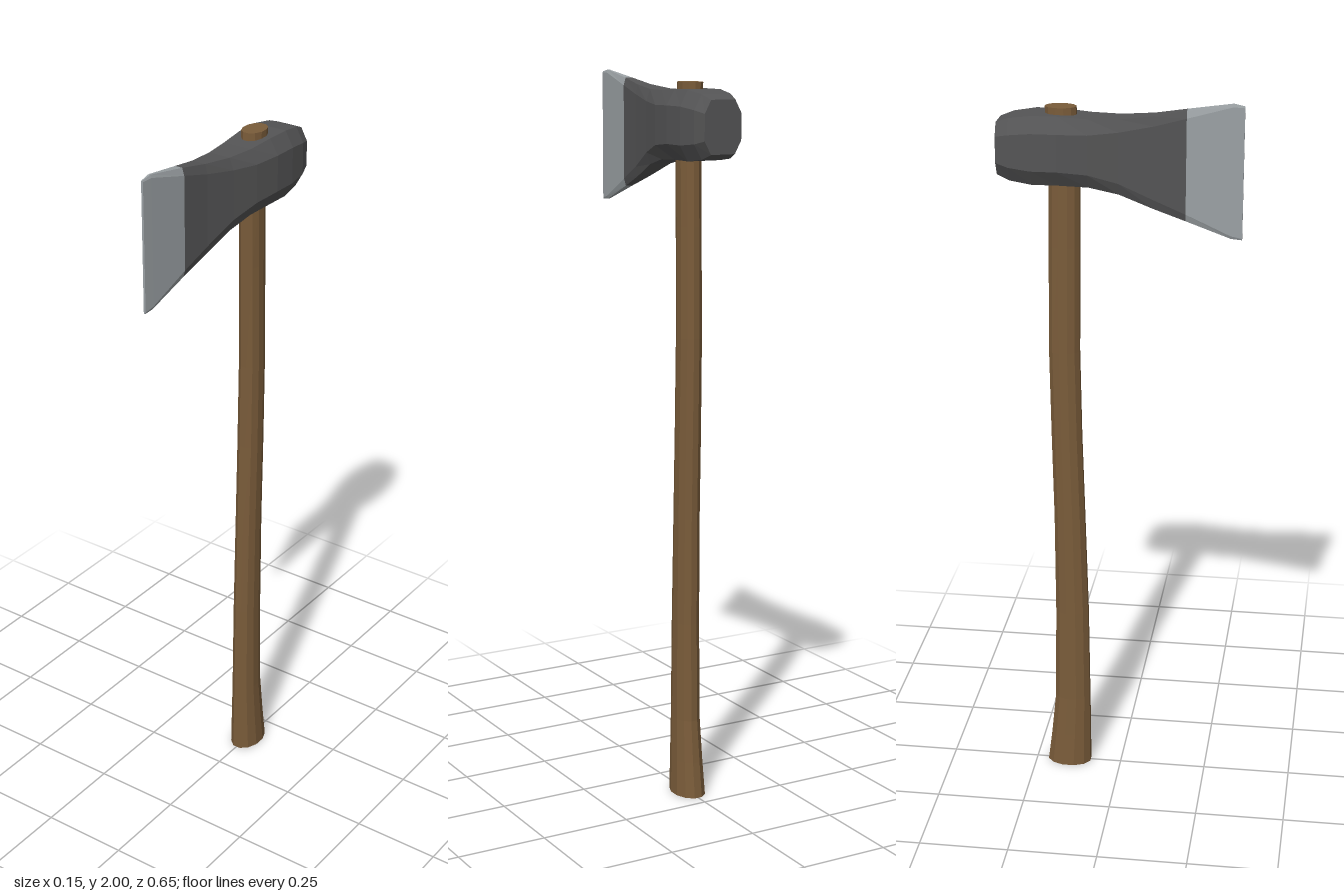
import * as THREE from 'three';

// Skin a list of rings (counter-clockwise seen from the end of the path) with flat faces
function loft(rings, capStart, capEnd) {
  const pos = [];
  const tri = (...pts) => pts.forEach((p) => pos.push(...p));
  const n = rings[0].length;
  for (let i = 0; i < rings.length - 1; i++) {
    for (let j = 0; j < n; j++) {
      const k = (j + 1) % n;
      const a = rings[i][j], b = rings[i][k], c = rings[i + 1][k], d = rings[i + 1][j];
      tri(a, b, c);
      tri(a, c, d);
    }
  }
  const first = rings[0], last = rings[rings.length - 1];
  for (let j = 1; j < n - 1; j++) {
    if (capStart) tri(first[0], first[j + 1], first[j]);
    if (capEnd) tri(last[0], last[j], last[j + 1]);
  }
  const g = new THREE.BufferGeometry();
  g.setAttribute('position', new THREE.Float32BufferAttribute(pos, 3));
  g.computeVertexNormals();
  return g;
}

// Chamfered rectangle across the head: [z, half width, flat half width, top, bottom, chamfer height]
function headRing([z, w, f, t, b, c]) {
  return [
    [w, b + c, z], [w, t - c, z], [f, t, z], [-f, t, z],
    [-w, t - c, z], [-w, b + c, z], [-f, b, z], [f, b, z],
  ];
}

// Twelve-sided oval across the handle: [y, front z, back z, half width]
function handleRing([y, front, back, w]) {
  return Array.from({ length: 12 }, (_, i) => {
    const a = ((i + 0.5) / 12) * Math.PI * 2;
    const s = 1 / Math.cos(Math.PI / 12);
    return [Math.sin(a) * w * s, y, (front + back) / 2 + Math.cos(a) * ((front - back) / 2) * s];
  });
}

export function createModel() {
  const wood = new THREE.MeshStandardMaterial({ color: 0x7a5c3a });
  const iron = new THREE.MeshStandardMaterial({ color: 0x555556 });
  const steel = new THREE.MeshStandardMaterial({ color: 0x9ca2a5 });
  wood.name = 'wood';
  iron.name = 'dark iron';
  steel.name = 'sharpened steel';

  const model = new THREE.Group();
  model.name = 'axe';
  const add = (name, geometry, material) => {
    const mesh = new THREE.Mesh(geometry, material);
    mesh.name = name;
    model.add(mesh);
  };

  // Gently curved handle, flared at the foot and passing through the head
  const handle = [
    [0, -0.09, -0.215, 0.043],
    [0.1, -0.09, -0.203, 0.039],
    [0.22, -0.091, -0.191, 0.035],
    [0.5, -0.094, -0.187, 0.033],
    [0.8, -0.102, -0.188, 0.032],
    [1.05, -0.109, -0.193, 0.032],
    [1.3, -0.113, -0.197, 0.031],
    [1.6, -0.11, -0.194, 0.03],
    [1.78, -0.108, -0.191, 0.03],
    [1.98, -0.117, -0.199, 0.03],
  ];
  add('handle', loft(handle.map(handleRing), true, true), wood);

  // Head from the blunt poll to the start of the bevel
  const join = [0.175, 0.017, 0.011, 1.98, 1.683, 0.02];
  const body = [
    [-0.325, 0.055, 0.036, 1.94, 1.8, 0.035],
    [-0.29, 0.066, 0.043, 1.953, 1.786, 0.04],
    [-0.23, 0.073, 0.049, 1.962, 1.778, 0.042],
    [-0.16, 0.073, 0.048, 1.962, 1.778, 0.042],
    [-0.08, 0.062, 0.042, 1.956, 1.774, 0.038],
    [0, 0.044, 0.032, 1.956, 1.755, 0.032],
    [0.09, 0.027, 0.02, 1.965, 1.716, 0.026],
    join,
  ];
  add('headBody', loft(body.map(headRing), true, false), iron);

  // Bright flared bevel with slightly clipped corners
  const bevel = [
    join,
    [0.295, 0.006, 0.003, 1.999, 1.637, 0.008],
    [0.325, 0.003, 0.0015, 1.993, 1.634, 0.004],
  ];
  add('cuttingEdge', loft(bevel.map(headRing), false, true), steel);

  return model;
}
